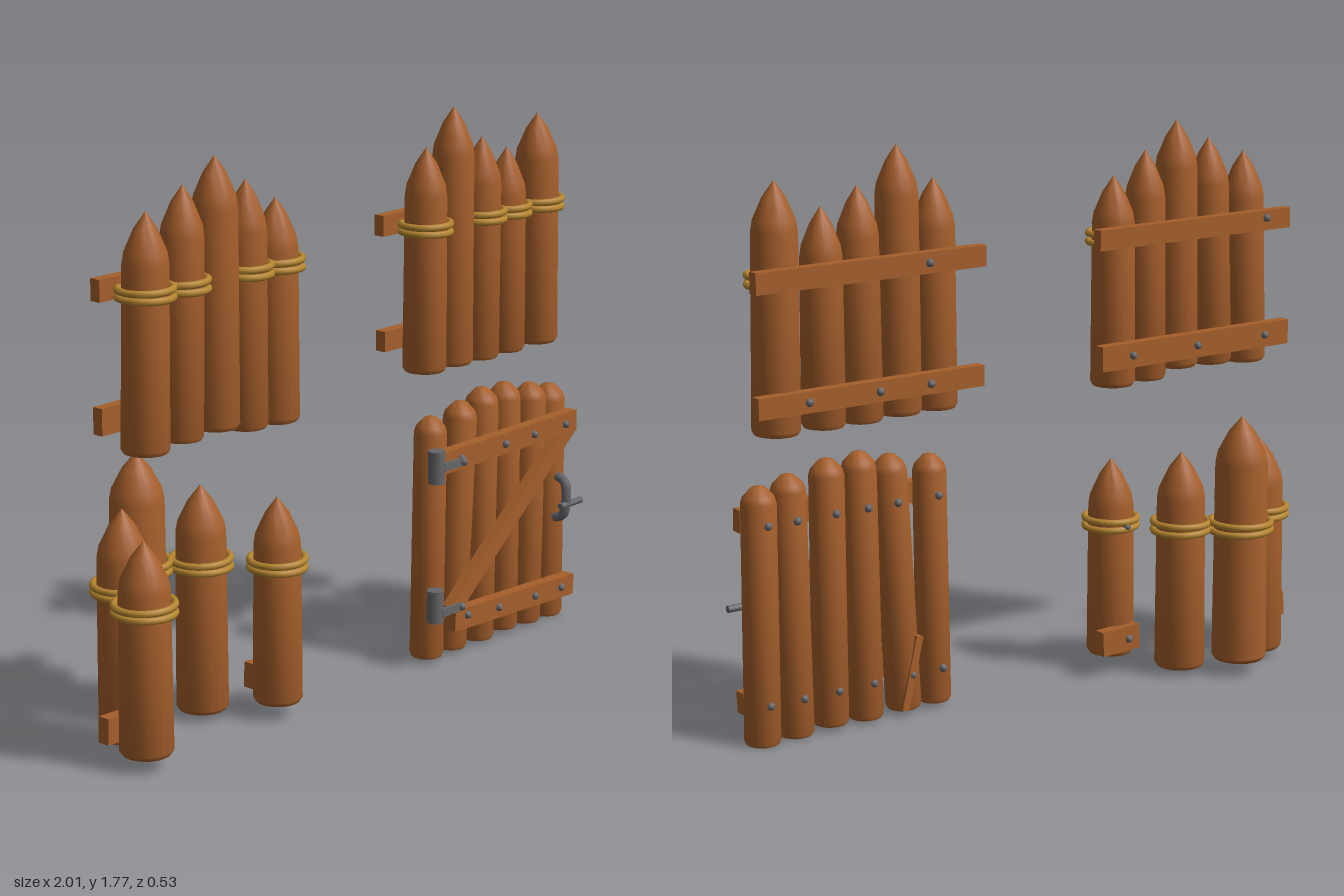
import * as THREE from 'three';
import { toCreasedNormals } from 'three/addons/utils/BufferGeometryUtils.js';

export function createModel() {
  const root = new THREE.Group();
  root.name = 'palisadeKit';
  const wood = new THREE.MeshStandardMaterial({ color: 0xa65f2b });
  const rope = new THREE.MeshStandardMaterial({ color: 0xb5852f });
  const iron = new THREE.MeshStandardMaterial({ color: 0x66666a });
  wood.name = 'wood'; rope.name = 'rope'; iron.name = 'iron';

  const group = (name) => {
    const g = new THREE.Group();
    g.name = name;
    root.add(g);
    return g;
  };
  const add = (parent, name, geo, mat, x, y, z) => {
    const m = new THREE.Mesh(geo, mat);
    m.name = name;
    m.position.set(x, y, z);
    parent.add(m);
    return m;
  };

  // A log with a shaped top, leaning from xBottom to xTop
  function log(parent, name, xBottom, xTop, z, yBottom, yTop, r, topProfile) {
    const h = yTop - yBottom;
    const pts = [[0, 0], [r * 0.9, 0], [r, 0.012],
      ...topProfile.map(([f, drop]) => [r * f, h - drop])];
    const lathe = new THREE.LatheGeometry(pts.map((p) => new THREE.Vector2(...p)), 20);
    const m = add(parent, name, toCreasedNormals(lathe, 0.6), wood, xBottom, yBottom, z);
    m.rotation.z = -Math.atan2(xTop - xBottom, h);
  }
  const pointed = [[0.95, 0.15], [0.87, 0.115], [0.48, 0.05], [0, 0]];
  const blunt = [[0.97, 0.055], [0.86, 0.035], [0.4, 0.008], [0, 0]];

  // Two coils of rope around a post
  function lashing(parent, x, y, z, r, tilt) {
    for (const s of [-1, 1]) {
      const coil = add(parent, 'ropeCoil', new THREE.TorusGeometry(r + 0.008, 0.011, 8, 28),
        rope, x, y + s * 0.012, z);
      coil.rotation.set(Math.PI / 2, tilt * s, 0);
    }
  }

  // A squared beam between two points in the xy plane
  function beam(parent, name, x0, y0, x1, y1, z, height, depth) {
    const m = add(parent, name, new THREE.BoxGeometry(Math.hypot(x1 - x0, y1 - y0), height, depth),
      wood, (x0 + x1) / 2, (y0 + y1) / 2, z);
    m.rotation.z = Math.atan2(y1 - y0, x1 - x0);
  }
  const boltGeo = new THREE.SphereGeometry(0.013, 10, 8);
  const bolt = (parent, x, y, z) => add(parent, 'bolt', boltGeo, iron, x, y, z);

  // Straight fence panels: [xBottom, xTop, yBottom, yTop, radius, lashed]
  function panel(name, posts, rails, bolts) {
    const g = group(name);
    for (const [x0, x1, y0, y1, r, lashed] of posts) {
      log(g, 'post', x0, x1, 0.125, y0, y1, r, pointed);
      const t = (1.41 - y0) / (y1 - y0);
      if (lashed) lashing(g, x0 + (x1 - x0) * t, 1.41, 0.125, r, 0.02);
    }
    for (const [x0, x1, y, h] of rails) beam(g, 'rail', x0, y, x1, y, 0.043, h, 0.036);
    for (const [x, y] of bolts) bolt(g, x, y, 0.024);
  }
  panel('rightFencePanel', [
    [-0.895, -0.88, 0.95, 1.64, 0.071, 1],
    [-0.755, -0.735, 0.96, 1.695, 0.068, 1],
    [-0.61, -0.605, 0.965, 1.76, 0.071, 0],
    [-0.485, -0.48, 0.94, 1.675, 0.067, 1],
    [-0.355, -0.355, 0.935, 1.605, 0.071, 1],
  ], [[-1, -0.23, 1.422, 0.065], [-1, -0.24, 1.045, 0.08]],
  [[-0.9, 1.43], [-0.9, 1.045], [-0.62, 1.045], [-0.36, 1.045]]);
  panel('leftFencePanel', [
    [0.325, 0.325, 0.955, 1.66, 0.069, 1],
    [0.455, 0.455, 0.955, 1.77, 0.069, 0],
    [0.59, 0.595, 0.95, 1.66, 0.067, 1],
    [0.722, 0.72, 0.95, 1.61, 0.067, 1],
    [0.885, 0.875, 0.95, 1.7, 0.073, 1],
  ], [[0.2, 1, 1.422, 0.065], [0.21, 1, 1.055, 0.065]],
  [[0.405, 1.422], [0.405, 1.055], [0.585, 1.055], [0.83, 1.055]]);

  // Curved corner section: [x, z, yBottom, yTop, radius]
  const corner = group('cornerSection');
  for (const [x, z, y0, y1, r] of [
    [-0.905, 0.12, 0.045, 0.69, 0.081],
    [-0.82, -0.055, 0.022, 0.73, 0.081],
    [-0.652, -0.165, 0.045, 0.845, 0.088],
    [-0.495, -0.055, 0.022, 0.73, 0.081],
    [-0.347, 0.12, 0.05, 0.695, 0.076],
  ]) {
    log(corner, 'cornerPost', x, x, z, y0, y1, r, pointed);
    lashing(corner, x, 0.488, z, r, 0.02);
  }
  for (const [x0, x1, nailX] of [[-1, -0.86, -0.905], [-0.39, -0.245, -0.347]]) {
    beam(corner, 'railStub', x0, 0.118, x1, 0.112, 0.04, 0.08, 0.04);
    bolt(corner, nailX, 0.115, 0.02);
    bolt(corner, nailX, 0.485, 0.035);
  }

  // Gate boards: [xBottom, xTop, yBottom, yTop]
  const gate = group('gate');
  const boards = [
    [0.327, 0.337, 0.015, 0.81], [0.44, 0.485, 0.015, 0.832], [0.58, 0.592, 0.01, 0.855],
    [0.705, 0.705, 0.015, 0.85], [0.828, 0.84, 0.005, 0.822], [0.945, 0.94, 0, 0.8],
  ];
  boards.forEach(([x0, x1, y0, y1], i) => {
    log(gate, 'gateBoard', x0, x1, 0.143, y0, y1, i ? 0.056 : 0.054, blunt);
    bolt(gate, x1, 0.685, 0.09);
    bolt(gate, x0, 0.13, 0.09);
  });
  beam(gate, 'splinter', 0.47, 0.02, 0.415, 0.25, 0.098, 0.025, 0.03);

  // Gate rails and diagonal brace
  beam(gate, 'gateTopRail', 0.27, 0.676, 0.975, 0.68, 0.215, 0.07, 0.04);
  beam(gate, 'gateBottomRail', 0.36, 0.14, 0.978, 0.112, 0.215, 0.07, 0.04);
  beam(gate, 'gateBrace', 0.35, 0.175, 0.95, 0.665, 0.219, 0.052, 0.036);
  for (const x of [0.38, 0.6, 0.75, 0.915]) bolt(gate, x, 0.678, 0.236);
  for (const [x, y] of [[0.42, 0.148], [0.58, 0.132], [0.77, 0.122], [0.91, 0.117]]) {
    bolt(gate, x, y, 0.236);
  }

  // Hinges: barrel, strap and end bolt
  for (const [y, strapY] of [[0.668, 0.668], [0.21, 0.188]]) {
    add(gate, 'hingeBarrel', new THREE.CylinderGeometry(0.027, 0.027, 0.105, 12), iron, 0.278, y, 0.218);
    add(gate, 'hingeStrap', new THREE.BoxGeometry(0.1, 0.026, 0.014), iron, 0.335, strapY, 0.238);
    bolt(gate, 0.38, strapY, 0.244);
  }

  // Latch: upright handle with a sliding bar
  const handle = new THREE.CatmullRomCurve3([
    [0.932, 0.49, 0.195], [0.928, 0.475, 0.228], [0.925, 0.42, 0.238],
    [0.922, 0.365, 0.228], [0.92, 0.35, 0.195],
  ].map((p) => new THREE.Vector3(...p)));
  add(gate, 'latchHandle', new THREE.TubeGeometry(handle, 20, 0.016, 8), iron, 0, 0, 0);
  const bar = add(gate, 'latchBar', new THREE.CylinderGeometry(0.011, 0.011, 0.11, 10), iron, 0.942, 0.403, 0.243);
  bar.rotation.z = Math.PI / 2;

  return root;
}
